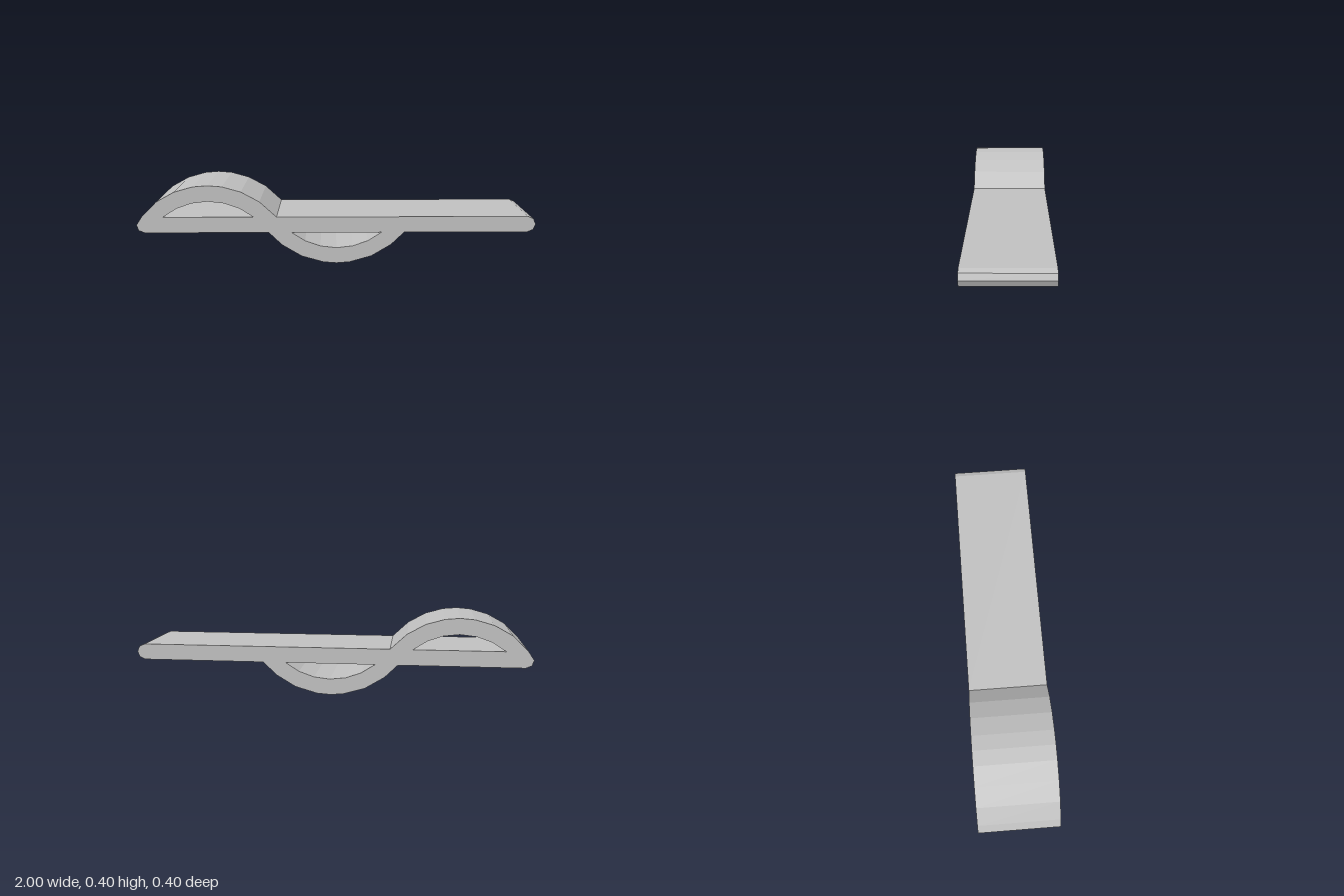
import * as THREE from 'three';

// Points on a circle at the given angles (degrees from vertical); dir 1 = upward bulge, -1 = downward
const arc = (cx, cy, r, dir, angles) => angles.map((a) => {
  const t = THREE.MathUtils.degToRad(a);
  return new THREE.Vector2(cx + r * Math.sin(t), cy + dir * r * Math.cos(t));
});
const pts = (list) => list.map(([x, y]) => new THREE.Vector2(x, y));

export function createModel() {
  const group = new THREE.Group();
  const grey = new THREE.MeshStandardMaterial({ color: 0xc0c0c0, flatShading: true });
  grey.name = 'light grey';

  const archX = -0.64, archY = -0.04, bowlY = 0.44, outer = 0.44, inner = 0.36;
  const steps = [-35.6, -22, -9.5, 0, 9.5, 22, 35.6];
  const bowlSteps = [-38.5, -23.5, -8.5, 0, 8.5, 23.5, 38.5];

  // Outline, counter-clockwise from the lower left of the strip
  const outline = new THREE.Shape([
    ...pts([[-1, 0.2], [-0.99, 0.172], [-0.96, 0.16], [-0.34, 0.16]]),
    ...arc(0, bowlY, outer, -1, bowlSteps),
    ...pts([[0.34, 0.16], [0.96, 0.16], [0.988, 0.172], [1, 0.2], [0.988, 0.228], [0.96, 0.24], [-0.3, 0.24]]),
    ...arc(archX, archY, outer, 1, [...steps].reverse()),
    ...pts([[-0.97, 0.245]]),
  ]);

  // Openings between the flat strip and each curved band
  const half = 0.226;
  const archHole = new THREE.Path([
    ...pts([[archX - half, 0.24]]),
    ...arc(archX, archY, inner, 1, [-26, -13, 0, 13, 26]),
    ...pts([[archX + half, 0.24]]),
  ]);
  const bowlHole = new THREE.Path([
    ...pts([[-half, 0.16]]),
    ...arc(0, bowlY, inner, -1, [-26, -13, 0, 13, 26]),
    ...pts([[half, 0.16]]),
  ]);
  outline.holes.push(archHole, bowlHole);

  // Constant profile across the full width
  const geometry = new THREE.ExtrudeGeometry(outline, { depth: 0.4, bevelEnabled: false });
  geometry.translate(0, 0, -0.2);
  const clip = new THREE.Mesh(geometry, grey);
  clip.name = 'wavyStripClip';
  group.add(clip);
  return group;
}
